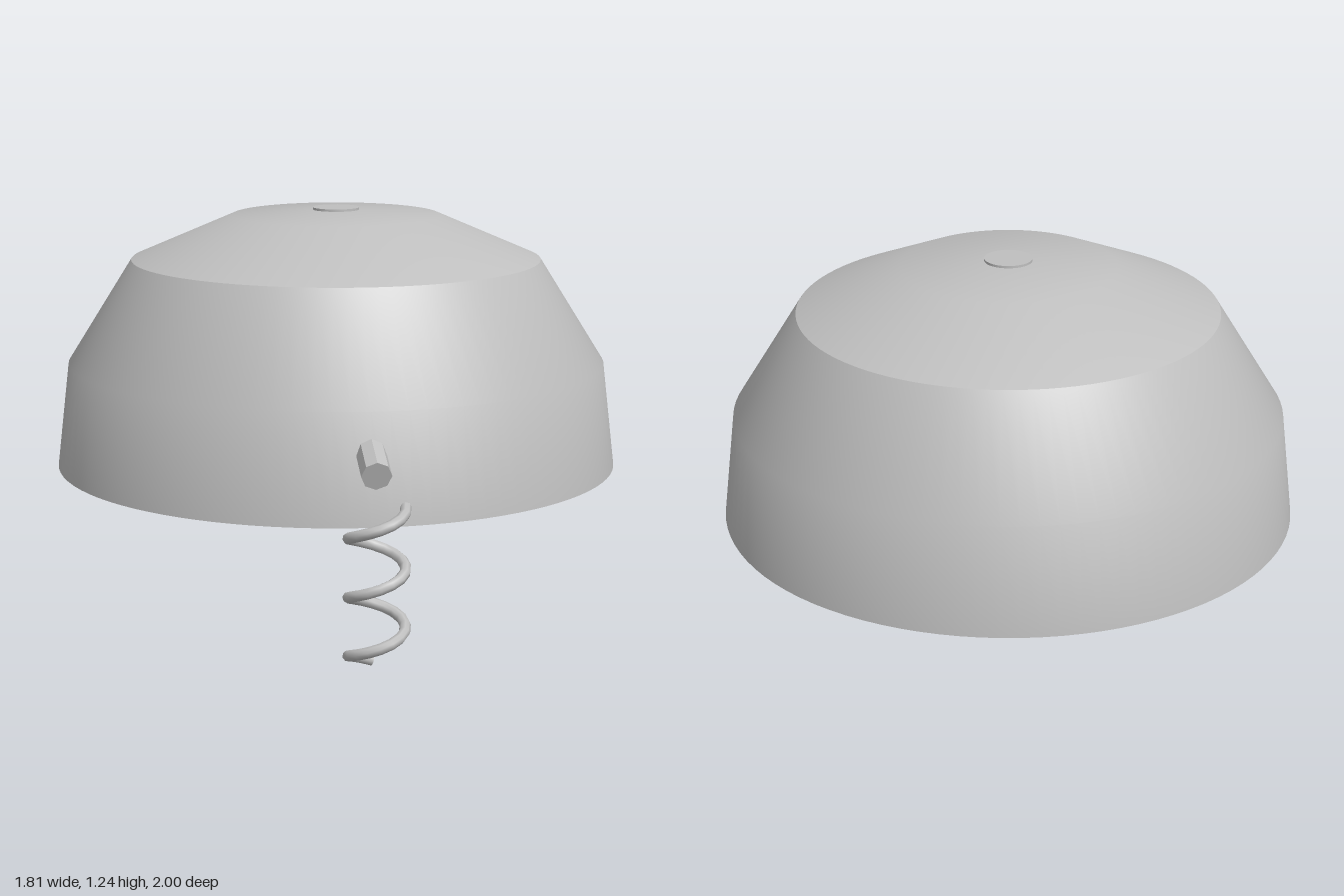
import * as THREE from 'three';
import { toCreasedNormals } from 'three/addons/utils/BufferGeometryUtils.js';

const AXIS_Z = -0.093; // centre line of the dome

export function createModel() {
  const model = new THREE.Group();
  model.name = 'domeWithSpring';
  const grey = new THREE.MeshStandardMaterial({ color: 0xbfbfbf });
  grey.name = 'grey';

  function add(name, geometry, parent = model) {
    const mesh = new THREE.Mesh(geometry, grey);
    mesh.name = name;
    parent.add(mesh);
    return mesh;
  }

  // Hollow dome: inner wall, rim and outer wall in one closed profile
  const profile = [
    [0, 1.185], [0.32, 1.17], [0.62, 1.04], [0.81, 0.735], [0.85, 0.415],
    [0.907, 0.415], [0.867, 0.75], [0.66, 1.08], [0.335, 1.22], [0, 1.24],
  ].map(([x, y]) => new THREE.Vector2(x, y));
  const dome = add('dome', toCreasedNormals(new THREE.LatheGeometry(profile, 96), Math.PI / 6));
  dome.position.z = AXIS_Z;

  // Central post, its top just breaking through the dome
  const post = add('centrePost', new THREE.CylinderGeometry(0.075, 0.075, 0.828, 32));
  post.position.set(0, 0.829, AXIS_Z);

  // Bent arm from the post out through the front wall
  const arm = new THREE.Group();
  arm.name = 'bentArm';
  model.add(arm);
  const joints = [[1.015, AXIS_Z], [0.752, 0.39], [0.588, 0.897]].map(([y, z]) => new THREE.Vector3(0, y, z));
  for (let i = 0; i < 2; i++) {
    const direction = joints[i + 1].clone().sub(joints[i]);
    const length = direction.length();
    const geometry = toCreasedNormals(new THREE.CylinderGeometry(0.045, 0.045, length, 8), 0.6);
    const segment = add(i ? 'armOuter' : 'armInner', geometry, arm);
    segment.position.copy(joints[i]).addScaledVector(direction, 0.5);
    segment.quaternion.setFromUnitVectors(new THREE.Vector3(0, 1, 0), direction.normalize());
  }

  // Helical spring hanging below the arm tip
  class Helix extends THREE.Curve {
    getPoint(t, target = new THREE.Vector3()) {
      const a = t * 2.75 * Math.PI * 2;
      return target.set(-0.083 * Math.sin(a), 0.017 + 0.481 * t, 0.905 - 0.083 * Math.cos(a));
    }
  }
  const helix = new Helix();
  const wire = 0.0165;
  add('spring', new THREE.TubeGeometry(helix, 44, wire, 8));
  for (const t of [0, 1]) {
    const cap = add('springEnd', new THREE.CircleGeometry(wire, 8));
    const outward = helix.getTangent(t).multiplyScalar(t ? 1 : -1);
    cap.position.copy(helix.getPoint(t));
    cap.quaternion.setFromUnitVectors(new THREE.Vector3(0, 0, 1), outward);
  }
  return model;
}
